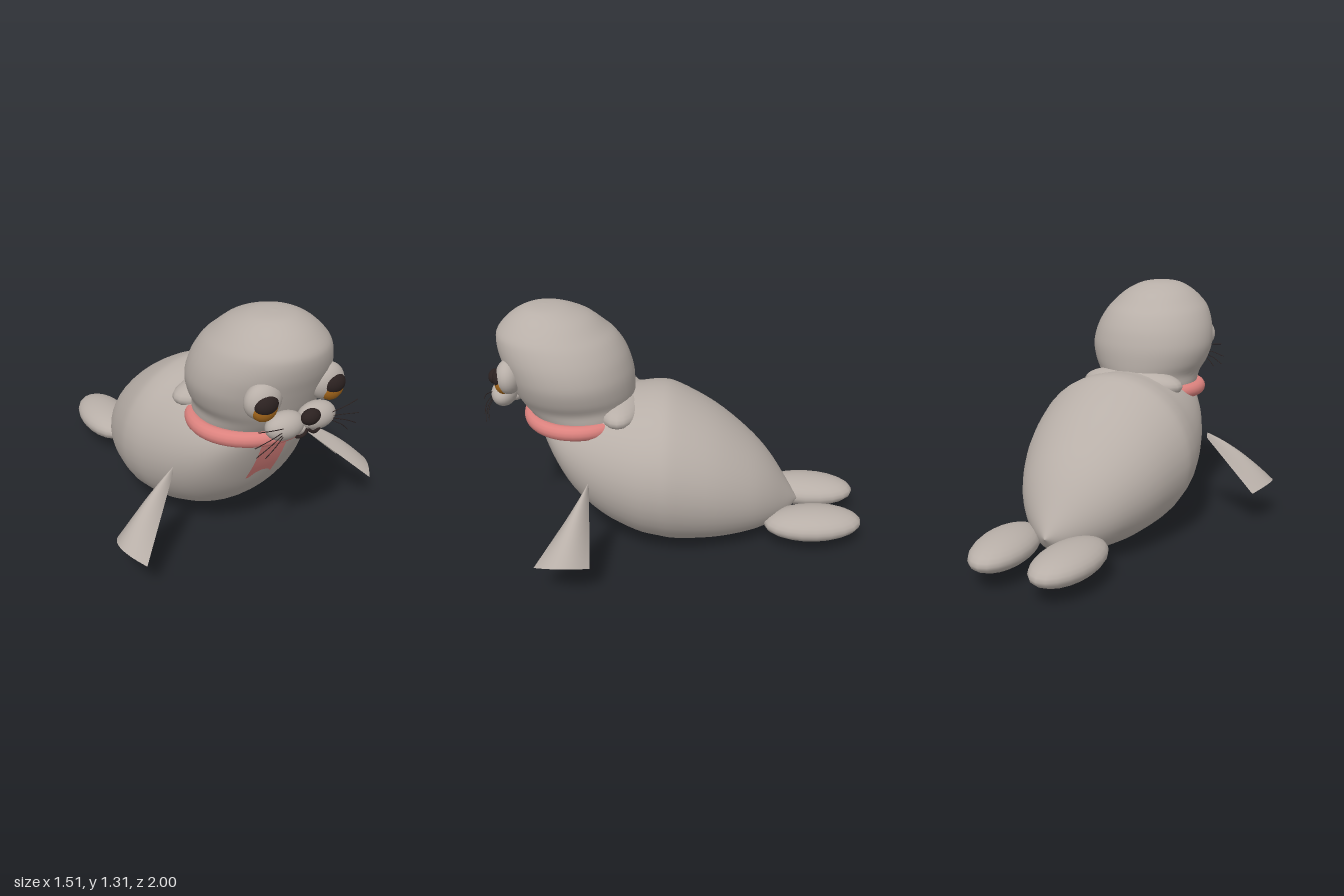
import * as THREE from 'three';

const mat = (name, color, side = THREE.FrontSide) => {
  const m = new THREE.MeshStandardMaterial({ color, side });
  m.name = name;
  return m;
};

// Smooth closed surface through rows [axis position, low edge, high edge, half width]
function loft(rows, place, steps = 48, around = 40) {
  const edges = new THREE.CatmullRomCurve3(rows.map(r => new THREE.Vector3(r[0], r[1], r[2])), false, 'catmullrom', 0.5);
  const widths = new THREE.CatmullRomCurve3(rows.map(r => new THREE.Vector3(r[3], 0, 0)), false, 'catmullrom', 0.5);
  const pos = [], index = [];
  for (let i = 0; i <= steps; i++) {
    const e = edges.getPoint(i / steps), w = Math.max(0, widths.getPoint(i / steps).x);
    for (let j = 0; j < around; j++) {
      const a = j / around * Math.PI * 2;
      pos.push(...place(e.x, (e.y + e.z) / 2, (e.z - e.y) / 2, w, Math.cos(a), Math.sin(a)));
    }
  }
  for (let i = 0; i < steps; i++) for (let j = 0; j < around; j++) {
    const k = (j + 1) % around, a = i * around + j, b = i * around + k;
    index.push(a, b, b + around, a, b + around, a + around);
  }
  return finish(pos, index);
}

function finish(pos, index) {
  const g = new THREE.BufferGeometry();
  g.setAttribute('position', new THREE.Float32BufferAttribute(pos, 3));
  g.setIndex(index);
  g.computeVertexNormals();
  return g;
}

// Open sheet from a rule of u, v in 0..1
function sheet(rule, nu, nv) {
  const pos = [], index = [];
  for (let i = 0; i <= nu; i++) for (let j = 0; j <= nv; j++) pos.push(...rule(i / nu, j / nv));
  for (let i = 0; i < nu; i++) for (let j = 0; j < nv; j++) {
    const a = i * (nv + 1) + j, b = a + nv + 1;
    index.push(a, b, b + 1, a, b + 1, a + 1);
  }
  return finish(pos, index);
}

export function createModel() {
  const root = new THREE.Group();
  const fur = mat('grey fur', 0xb8afa8);
  const furSheet = mat('grey flipper', 0xb8afa8, THREE.DoubleSide);
  const pink = mat('pink scarf', 0xdc827e, THREE.DoubleSide);
  const amber = mat('amber iris', 0xa8691c);
  const dark = mat('dark brown', 0x2b2120);

  const add = (name, geo, m) => {
    const mesh = new THREE.Mesh(geo, m);
    mesh.name = name;
    root.add(mesh);
    return mesh;
  };
  const ball = (name, m, p, r, seg = 24) => {
    const mesh = add(name, new THREE.SphereGeometry(1, seg, Math.round(seg * 0.7)), m);
    mesh.position.set(...p);
    mesh.scale.set(...r);
    return mesh;
  };
  const tube = (name, pts, r, m) => add(name, new THREE.TubeGeometry(
    new THREE.CatmullRomCurve3(pts.map(p => new THREE.Vector3(...p))), 12, r, 6), m);

  // Body, tail to chest
  add('body', loft([
    [-0.665, 0.19, 0.19, 0], [-0.6, 0.11, 0.305, 0.10], [-0.5, 0.06, 0.46, 0.215],
    [-0.38, 0.03, 0.59, 0.31], [-0.2, 0.008, 0.735, 0.40], [0, 0.008, 0.845, 0.455],
    [0.1, 0.025, 0.866, 0.46], [0.22, 0.055, 0.855, 0.44], [0.4, 0.15, 0.85, 0.385],
    [0.55, 0.3, 0.84, 0.315], [0.65, 0.48, 0.82, 0.235], [0.72, 0.65, 0.79, 0.12],
    [0.745, 0.73, 0.73, 0],
  ], (z, c, h, w, cos, sin) => [w * cos, c + h * sin, z]), fur);

  // Head and neck, bottom to crown
  add('head', loft([
    [0.68, 0.25, 0.72, 0.26], [0.76, 0.23, 0.78, 0.28], [0.82, 0.228, 0.825, 0.288],
    [0.88, 0.225, 0.855, 0.32], [0.95, 0.228, 0.88, 0.342], [1.01, 0.24, 0.90, 0.344],
    [1.08, 0.265, 0.922, 0.33], [1.15, 0.31, 0.932, 0.30], [1.2, 0.365, 0.92, 0.264],
    [1.26, 0.44, 0.865, 0.2], [1.3, 0.535, 0.8, 0.13], [1.315, 0.6, 0.75, 0.07], [1.32, 0.675, 0.675, 0],
  ], (y, c, h, w, cos, sin) => [w * cos, y, c - h * sin]), fur);

  // Neck fillet where the nape meets the back
  ball('nape', fur, [0, 0.78, 0.3], [0.3, 0.085, 0.13]);

  // Scarf ring and hanging end
  const scarf = add('scarfRing', new THREE.TorusGeometry(0.29, 0.04, 14, 48), pink);
  scarf.rotation.x = Math.PI / 2;
  scarf.scale.set(1, 0.9, 1);
  scarf.position.set(0, 0.73, 0.52);
  const drape = new THREE.CatmullRomCurve3([[0.755, 0.72], [0.715, 0.61], [0.669, 0.51], [0.615, 0.415]]
    .map(([z, y]) => new THREE.Vector3(0, y, z)));
  add('scarfEnd', sheet((u, v) => {
    const p = drape.getPoint(u);
    return [-0.085 + 0.155 * v, p.y, p.z];
  }, 12, 2), pink);

  for (const s of [1, -1]) {
    const side = s > 0 ? 'left' : 'right';

    // Front flipper: curved fan widening outward
    add(side + 'FrontFlipper', sheet((u, t) => {
      const v = t * 2 - 1, k = v * v;
      return [
        s * (0.4 + u * (0.355 - 0.065 * k)),
        0.5 - 0.03 * k + u * (-0.268 - 0.012 * k) + 0.12 * u * (1 - u) * (1 - k),
        0.447 + 0.108 * u + v * (0.005 + 0.134 * u),
      ];
    }, 12, 12), furSheet);

    // Hind flipper
    const hind = ball(side + 'HindFlipper', fur, [s * 0.18, 0.146, -0.735], [0.143, 0.082, 0.265], 20);
    hind.rotation.y = s * 0.08;

    // Eye socket, iris and pupil
    ball(side + 'EyeSocket', fur, [s * 0.178, 0.993, 0.848], [0.095, 0.09, 0.066]);
    ball(side + 'Iris', amber, [s * 0.188, 0.972, 0.876], [0.066, 0.066, 0.046]);
    ball(side + 'Pupil', dark, [s * 0.19, 0.993, 0.888], [0.062, 0.05, 0.042]);

    // Muzzle cheek
    ball(side + 'Cheek', fur, [s * 0.09, 0.865, 0.9], [0.1, 0.066, 0.066]);

    // Mouth half
    tube(side + 'Mouth', [[0, 0.842, 0.95], [s * 0.025, 0.825, 0.958], [s * 0.05, 0.82, 0.954], [s * 0.07, 0.828, 0.95]], 0.008, dark);

    // Whiskers
    for (const [y0, x1, y1] of [[0.885, 0.28, 0.915], [0.87, 0.295, 0.84], [0.86, 0.285, 0.79], [0.85, 0.235, 0.77]])
      tube(side + 'Whisker', [[s * 0.13, y0, 0.95], [s * (0.07 + x1 / 2), (y0 + y1) / 2 + 0.006, 0.965], [s * x1, y1, 0.958]], 0.002, dark);
  }

  // Chin and nose
  ball('chin', fur, [0, 0.825, 0.87], [0.07, 0.04, 0.06]);
  ball('nose', dark, [0, 0.914, 0.967], [0.05, 0.038, 0.033]);

  return root;
}
